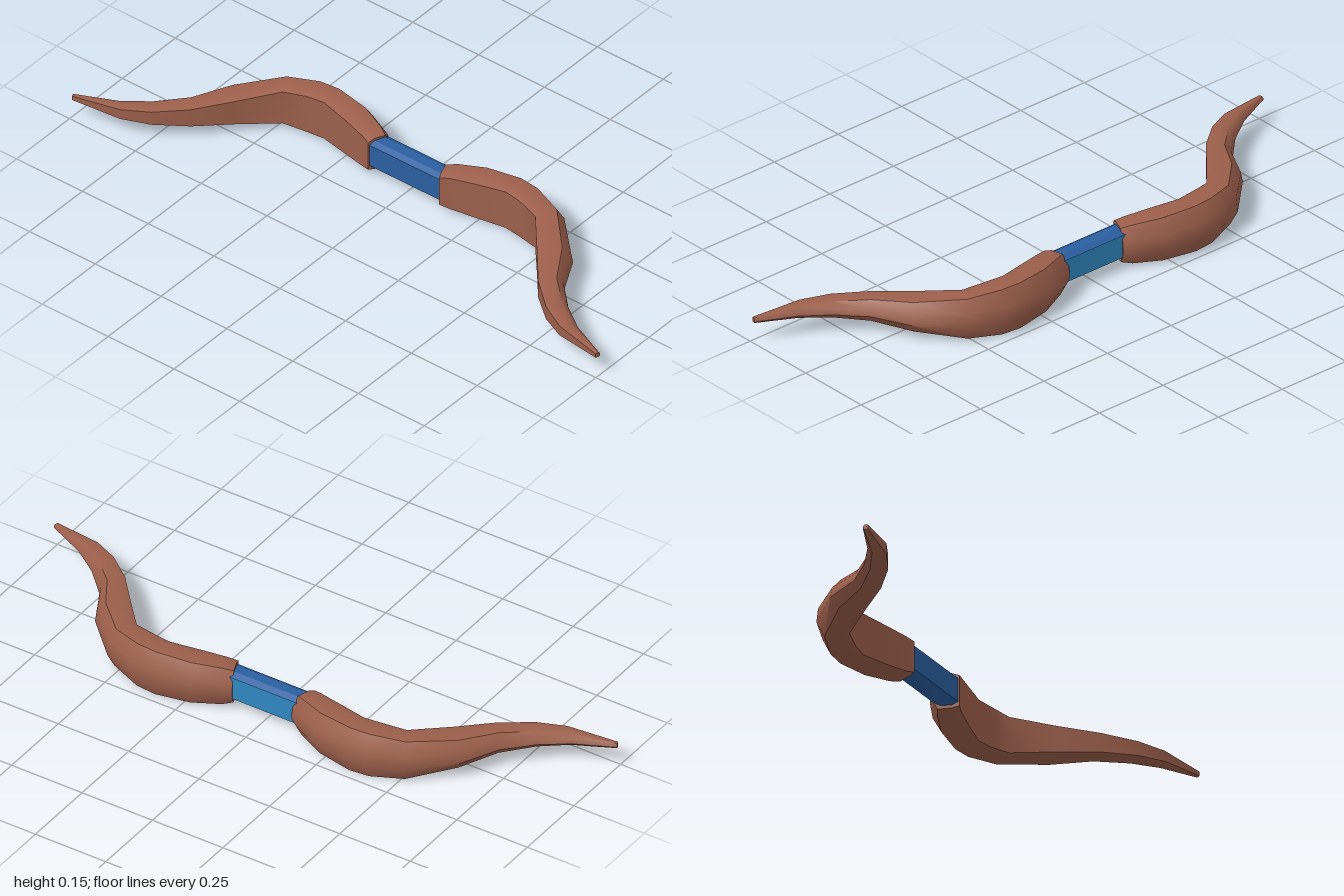
import * as THREE from 'three';
import { toCreasedNormals } from 'three/addons/utils/BufferGeometryUtils.js';

const MID_Y = 0.08;

// Limb stations: inner x, inner z, outer x, outer z, half height
const STATIONS = [
  [0.085, 0.135, 0.165, 0.105, 0.058],
  [0.095, 0.165, 0.185, 0.135, 0.066],
  [0.115, 0.245, 0.227, 0.225, 0.073],
  [0.138, 0.345, 0.243, 0.345, 0.078],
  [0.13, 0.405, 0.238, 0.415, 0.077],
  [0.11, 0.48, 0.196, 0.527, 0.068],
  [0.0, 0.575, 0.08, 0.648, 0.049],
  [-0.1, 0.66, -0.037, 0.71, 0.036],
  [-0.175, 0.75, -0.116, 0.79, 0.027],
  [-0.217, 0.835, -0.175, 0.875, 0.02],
  [-0.245, 0.995, -0.23, 1.0, 0.008],
];

// D-shaped section: flat inner side, rounded outer side (depth 0..1, height -1..1)
const SECTION = [
  [0, 0.86], [0.27, 1], [0.7, 0.95], [0.95, 0.35],
  [1, -0.3], [0.76, -0.98], [0.25, -0.96], [0, -0.86],
];

// Loft the section along the stations; side mirrors the limb in z
function limbGeometry(side) {
  const n = SECTION.length;
  const positions = [];
  const index = [];
  const tri = (a, b, c) => index.push(...(side > 0 ? [a, b, c] : [a, c, b]));
  for (const [ix, iz, ox, oz, h] of STATIONS) {
    for (const [t, v] of SECTION) {
      positions.push(ix + (ox - ix) * t, MID_Y + v * h, side * (iz + (oz - iz) * t));
    }
  }
  for (let i = 0; i < STATIONS.length - 1; i++) {
    for (let j = 0; j < n; j++) {
      const a = i * n + j;
      const b = i * n + ((j + 1) % n);
      tri(a, a + n, b);
      tri(b, a + n, b + n);
    }
  }
  const last = (STATIONS.length - 1) * n;
  for (let j = 1; j < n - 1; j++) {
    tri(0, j, j + 1);
    tri(last, last + j + 1, last + j);
  }
  const geometry = new THREE.BufferGeometry();
  geometry.setAttribute('position', new THREE.Float32BufferAttribute(positions, 3));
  geometry.setIndex(index);
  return toCreasedNormals(geometry, 0.75);
}

export function createModel() {
  const wood = new THREE.MeshStandardMaterial({ color: 0x9c5f4b });
  wood.name = 'reddish wood';
  const blue = new THREE.MeshStandardMaterial({ color: 0x2f86c0 });
  blue.name = 'grip blue';
  const darkBlue = new THREE.MeshStandardMaterial({ color: 0x2a5fa0 });
  darkBlue.name = 'dark grip blue';

  const bow = new THREE.Group();
  bow.name = 'bow';

  // Two mirrored recurved limbs
  for (const side of [1, -1]) {
    const limb = new THREE.Mesh(limbGeometry(side), wood);
    limb.name = side > 0 ? 'frontLimb' : 'backLimb';
    bow.add(limb);
  }

  // Grip: chamfered bar running between the limbs
  const outline = [
    [0.033, 0.038], [0.016, 0.048], [-0.016, 0.048], [-0.033, 0.038],
    [-0.033, -0.038], [-0.016, -0.048], [0.016, -0.048], [0.033, -0.038],
  ].map(([x, y]) => new THREE.Vector2(x, y));
  const gripGeometry = new THREE.ExtrudeGeometry(new THREE.Shape(outline), {
    depth: 0.27, bevelEnabled: false,
  });
  gripGeometry.translate(0.122, MID_Y + 0.002, -0.135);
  const grip = new THREE.Mesh(gripGeometry, darkBlue);
  grip.name = 'grip';
  bow.add(grip);

  // Brighter panel on the outer face of the grip
  const panel = new THREE.Mesh(new THREE.BoxGeometry(0.003, 0.076, 0.25), blue);
  panel.name = 'gripPanel';
  panel.position.set(0.1555, MID_Y + 0.002, 0);
  bow.add(panel);

  return bow;
}
